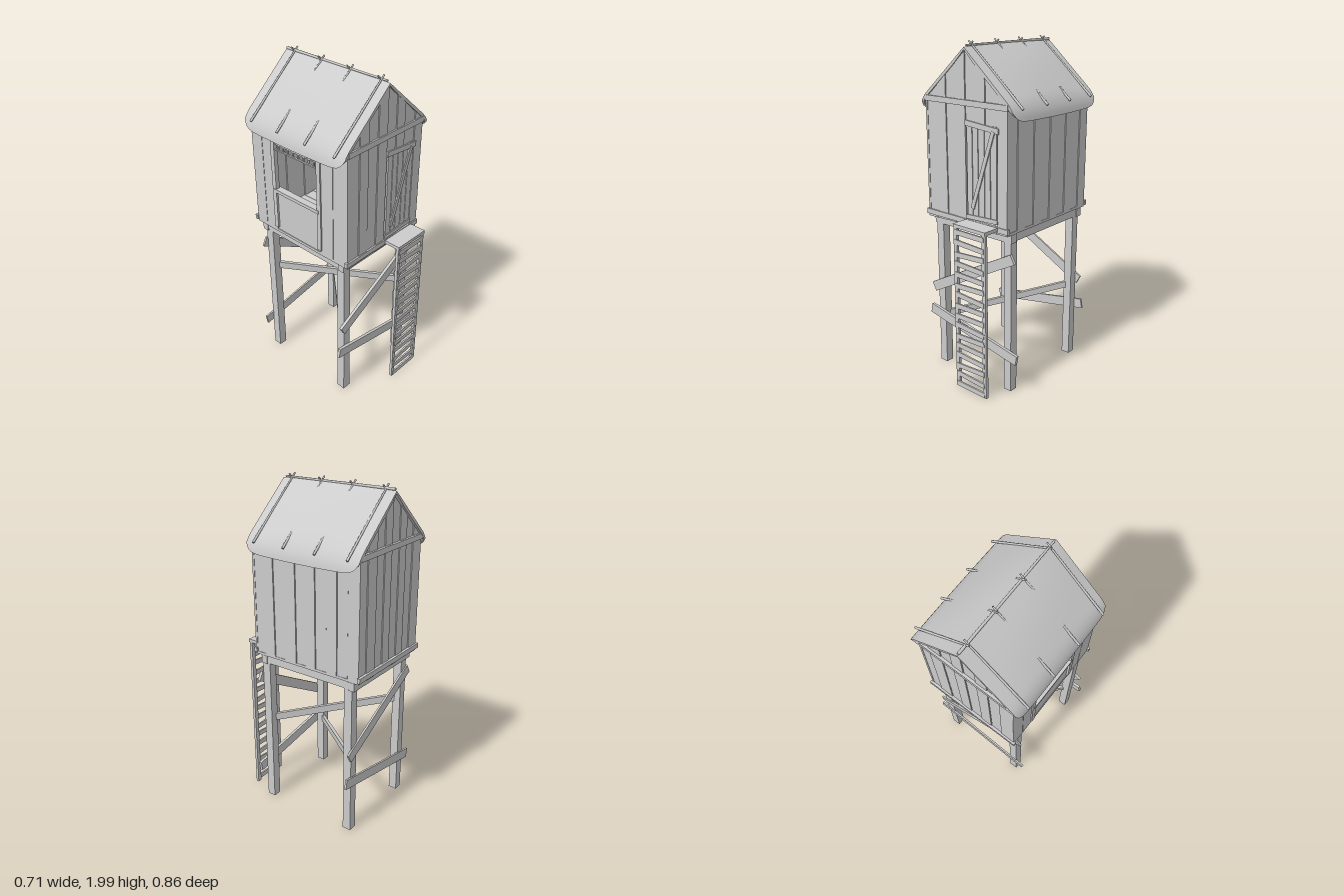
import * as THREE from 'three';
import { toCreasedNormals } from 'three/addons/utils/BufferGeometryUtils.js';
import { ParametricGeometry } from 'three/addons/geometries/ParametricGeometry.js';

const wood = new THREE.MeshStandardMaterial({ color: 0xcccccc });
const thatch = new THREE.MeshStandardMaterial({ color: 0xcccccc, side: THREE.DoubleSide });
const X0 = -0.305, X1 = 0.298, Z0 = -0.415, Z1 = 0.315; // outer wall faces

export function createModel() {
  const model = new THREE.Group();

  const add = (parent, name, geometry, material = wood) => {
    const mesh = new THREE.Mesh(geometry, material);
    mesh.name = name;
    parent.add(mesh);
    return mesh;
  };
  const group = (name) => {
    const g = new THREE.Group();
    g.name = name;
    model.add(g);
    return g;
  };
  // Box given by its lower and upper limits on each axis
  const box = (parent, name, x0, x1, y0, y1, z0, z1) => {
    const m = add(parent, name, new THREE.BoxGeometry(x1 - x0, y1 - y0, z1 - z0));
    m.position.set((x0 + x1) / 2, (y0 + y1) / 2, (z0 + z1) / 2);
    return m;
  };
  // Board from a to b; its height stands upright
  const board = (parent, name, a, b, height, depth) => {
    const A = new THREE.Vector3(...a), B = new THREE.Vector3(...b);
    const m = add(parent, name, new THREE.BoxGeometry(depth, height, A.distanceTo(B)));
    m.position.copy(A).add(B).multiplyScalar(0.5);
    m.lookAt(B);
    return m;
  };
  // Round pole from a to b
  const pole = (parent, name, a, b, r) => {
    const A = new THREE.Vector3(...a), B = new THREE.Vector3(...b);
    const dir = B.clone().sub(A);
    const m = add(parent, name, new THREE.CylinderGeometry(r * 0.7, r, dir.length(), 8));
    m.position.copy(A).add(B).multiplyScalar(0.5);
    m.quaternion.setFromUnitVectors(new THREE.Vector3(0, 1, 0), dir.normalize());
  };

  // Legs
  const legs = group('legs');
  for (const x of [-0.26, 0.262])
    for (const z of [-0.34, 0.245]) box(legs, 'leg', x - 0.026, x + 0.026, 0.01, 0.95, z - 0.026, z + 0.026);

  // Braces: crossed boards on the front and back, diagonals through the middle
  const braces = group('braces');
  board(braces, 'frontBrace', [-0.31, 0.515, 0.28], [0.31, 0.85, 0.28], 0.06, 0.018);
  board(braces, 'frontBrace', [-0.34, 0.36, 0.28], [0.34, 0.235, 0.28], 0.06, 0.018);
  board(braces, 'backBrace', [0.31, 0.515, -0.368], [-0.31, 0.85, -0.368], 0.06, 0.012);
  board(braces, 'backBrace', [0.34, 0.36, -0.368], [-0.34, 0.235, -0.368], 0.06, 0.012);
  board(braces, 'diagonalBrace', [-0.25, 0.665, -0.33], [0.25, 0.565, 0.235], 0.045, 0.02);
  board(braces, 'diagonalBrace', [-0.25, 0.335, 0.235], [0.25, 0.485, -0.33], 0.04, 0.02);

  // Platform: frame beams, joists and floor planks
  const platform = group('platform');
  for (const x of [-0.265, 0.265]) box(platform, 'sideBeam', x - 0.025, x + 0.025, 0.94, 0.988, -0.385, 0.275);
  for (const z of [-0.365, 0.255]) box(platform, 'endBeam', -0.295, 0.295, 0.935, 0.985, z - 0.02, z + 0.02);
  for (const z of [-0.16, 0.05]) box(platform, 'joist', -0.24, 0.24, 0.96, 0.988, z - 0.015, z + 0.015);
  for (let i = 0; i < 8; i++) {
    const x = X0 + i * 0.0755;
    box(platform, 'floorPlank', x, x + 0.073, 0.985 + (i % 3) * 0.002, 1.002, Z0, Z1);
  }

  // Gable walls: upright planks whose tops follow the roof
  const walls = group('walls');
  const gableTop = (x) => 1.95 - 0.9 * Math.abs(x);
  const gablePlank = (x0, x1, y0, z) => {
    const s = new THREE.Shape();
    s.moveTo(x0, y0);
    s.lineTo(x1, y0);
    s.lineTo(x1, gableTop(x1));
    s.lineTo(x0, gableTop(x0));
    add(walls, 'gablePlank', new THREE.ExtrudeGeometry(s, { depth: 0.014, bevelEnabled: false })).position.z = z;
  };
  const cuts = [X0, -0.215, -0.145, -0.073, 0, 0.072, 0.142, 0.228, X1];
  for (let i = 0; i < cuts.length - 1; i++) {
    const shift = (i % 2) * 0.004;
    const overDoor = i >= 4 && i <= 6;
    gablePlank(cuts[i] + 0.0015, cuts[i + 1] - 0.0015, overDoor ? 1.55 : 1, Z1 - 0.018 + shift);
    gablePlank(cuts[i] + 0.0015, cuts[i + 1] - 0.0015, 1, Z0 + shift);
  }

  // Side walls: upright planks, the left model side closed and the other with a window
  const win = { z0: -0.24, z1: 0.11, y0: 1.27, y1: 1.6 };
  const sideCuts = [Z0, -0.34, -0.27, -0.2, -0.125, -0.055, 0.01, 0.09, 0.165, 0.23, Z1];
  for (let i = 0; i < sideCuts.length - 1; i++) {
    const o = (i % 2) * 0.004;
    box(walls, 'sidePlank', X1 - 0.014 - o, X1 - o, 1, 1.675, sideCuts[i] + 0.0015, sideCuts[i + 1] - 0.0015);
  }
  for (const [z0, z1] of [[Z0, -0.33], [-0.33, win.z0], [win.z1, 0.21], [0.21, Z1]])
    box(walls, 'windowSidePlank', X0, X0 + 0.014, 1, 1.675, z0 + 0.0015, z1 - 0.0015);
  box(walls, 'panelUnderWindow', X0 + 0.004, X0 + 0.016, 1, win.y0, win.z0, win.z1);
  box(walls, 'panelOverWindow', X0 + 0.004, X0 + 0.016, win.y1, 1.675, win.z0, win.z1);

  // Window: posts, sill and a lattice along the top
  const windowFrame = group('window');
  for (const z of [win.z0, win.z1]) box(windowFrame, 'windowPost', X0 - 0.008, X0 + 0.018, 1.02, 1.66, z - 0.014, z + 0.014);
  box(windowFrame, 'sill', X0 - 0.012, X0 + 0.03, win.y0 - 0.01, win.y0 + 0.01, win.z0, win.z1);
  for (const y of [1.53, 1.565, 1.6]) box(windowFrame, 'latticeBar', X0, X0 + 0.01, y - 0.004, y + 0.004, win.z0, win.z1);
  for (let i = 1; i < 9; i++) {
    const z = win.z0 + (i * (win.z1 - win.z0)) / 9;
    box(windowFrame, 'latticeSlat', X0 + 0.002, X0 + 0.008, 1.53, 1.6, z - 0.004, z + 0.004);
  }

  // Trim: cross beams below each gable and rails at the foot of the end walls
  const trim = group('trim');
  for (const z of [Z1, Z0]) {
    box(trim, 'gableBeam', -0.302, 0.302, 1.664, 1.696, z - 0.012, z + 0.006);
    box(trim, 'footRail', -0.316, 0.305, 0.998, 1.028, z - 0.012, z + 0.006);
  }

  // Door: planks with two battens and a diagonal
  const door = group('door');
  const doorCuts = [0.008, 0.05, 0.092, 0.138, 0.18, 0.225];
  for (let i = 0; i < 5; i++)
    box(door, 'doorPlank', doorCuts[i] + 0.002, doorCuts[i + 1] - 0.002, 1.04 + (i % 2) * 0.008, 1.575 - (i % 2) * 0.01, 0.306, 0.316);
  board(door, 'topBatten', [0, 1.575, 0.318], [0.24, 1.553, 0.318], 0.03, 0.008);
  board(door, 'bottomBatten', [0, 1.045, 0.318], [0.23, 1.056, 0.318], 0.025, 0.008);
  board(door, 'diagonalBatten', [0.05, 1.1, 0.319], [0.203, 1.55, 0.319], 0.024, 0.008);

  // Ladder with uneven rungs and a landing
  const ladder = group('ladder');
  box(ladder, 'rail', 0, 0.024, 0.01, 1.015, 0.406, 0.424);
  box(ladder, 'rail', 0.208, 0.234, 0.01, 1.015, 0.406, 0.424);
  for (let i = 0; i < 16; i++) {
    const y = 0.03 + i * 0.0635, tilt = 0.007 * Math.sin(i * 2.3);
    board(ladder, 'rung', [0.008, y + tilt, 0.423], [0.222, y - tilt, 0.423], 0.03, 0.01);
  }
  box(ladder, 'landing', 0, 0.236, 1.008, 1.028, 0.325, 0.428);

  // Roof: a thin shell, straight from the ridge and curling down at the eaves
  const roof = group('roof');
  const eave = new THREE.QuadraticBezierCurve(
    new THREE.Vector2(0.29, 1.714), new THREE.Vector2(0.345, 1.665), new THREE.Vector2(0.35, 1.595));
  const slope = (a) => a < 0.75
    ? new THREE.Vector2((0.29 * a) / 0.75, 1.97 - (0.256 * a) / 0.75)
    : eave.getPoint((a - 0.75) / 0.25);
  const shell = (u, v, target) => {
    const capped = v < 0.001 || v > 0.999; // end rings close the shell
    const w = THREE.MathUtils.clamp((v - 1 / 28) / (26 / 28), 0, 1);
    const t = -Math.cos(w * Math.PI);
    const s = u <= 0.5 ? -1 + 4 * u : 3 - 4 * u;
    const a = Math.abs(s) * (1 - 0.03 * t * t - 0.1 * Math.pow(t, 16));
    const p = slope(a);
    const swell = (1 - t * t) * (0.008 + 0.02 * Math.max(0, Math.sin((Math.PI * a) / 0.85)) * (a < 0.85));
    const inner = u > 0.5 && !capped && Math.abs(s) < 0.99 ? 1 : 0;
    target.set(Math.sign(s) * (p.x - 0.01 * inner * Math.min(1, a * 4)), p.y + swell - 0.014 * inner, -0.055 + 0.373 * t);
  };
  add(roof, 'thatch', toCreasedNormals(new ParametricGeometry(shell, 96, 28), 0.7), thatch);

  // Ridge pole and the poles holding the thatch down
  pole(roof, 'ridgePole', [0, 1.978, -0.42], [0, 1.978, 0.3], 0.008);
  for (const z of [-0.355, -0.15, 0.057, 0.264]) {
    pole(roof, 'roofPole', [-0.354, 1.672, z], [0.016, 1.996, z], 0.007);
    pole(roof, 'roofPole', [0.35, 1.672, z - 0.012], [-0.022, 1.998, z - 0.01], 0.007);
  }

  return model;
}
